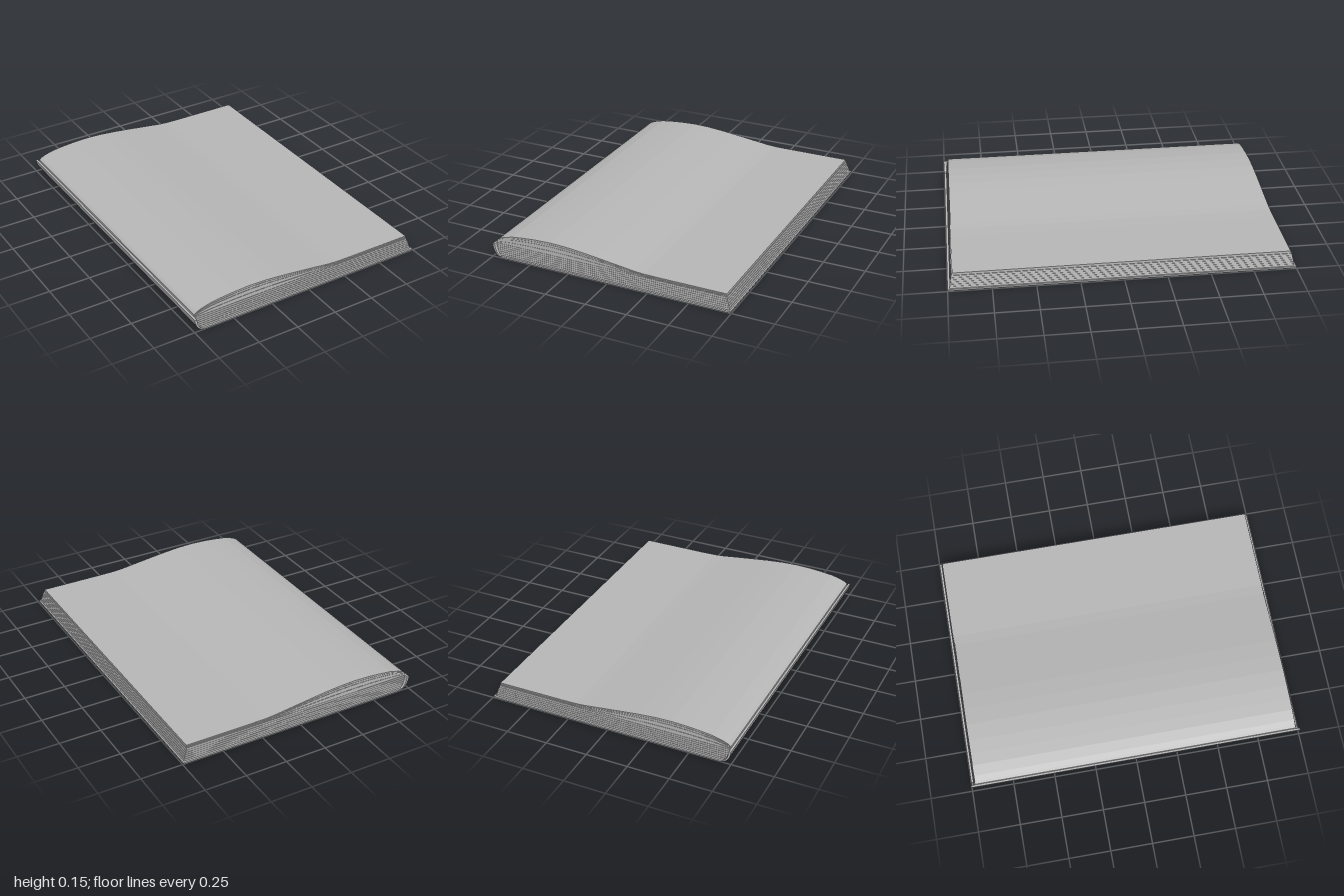
import * as THREE from 'three';

const paper = new THREE.MeshStandardMaterial({ color: 0xb8b8b8 });
paper.name = 'grey';

// Extrude an x-y outline symmetrically along z
function slab(name, points, halfDepth) {
  const shape = new THREE.Shape(points.map(([x, y]) => new THREE.Vector2(x, y)));
  const geo = new THREE.ExtrudeGeometry(shape, { depth: 2 * halfDepth, bevelEnabled: false });
  geo.translate(0, 0, -halfDepth);
  const mesh = new THREE.Mesh(geo, paper);
  mesh.name = name;
  return mesh;
}

// Inner face of the spine at height y
const spineX = (y) => -0.70 - 0.034 * Math.sqrt(Math.max(0, Math.min(1, (y - 0.01) / 0.07)));

// Upper edge of the raised leaves, scaled by how far they lift
const curl = [
  [-0.735, 0], [-0.72, 0.2], [-0.69, 0.41], [-0.63, 0.68], [-0.56, 0.82], [-0.48, 0.94],
  [-0.38, 1], [-0.28, 0.94], [-0.18, 0.79], [-0.08, 0.59], [0, 0.42], [0.08, 0.25],
  [0.15, 0.1], [0.21, 0.02], [0.3, 0], [0.71, 0],
];
const curlEdge = (base, lift) => curl.map(([x, k]) => [x, base + lift * k]);

export function createModel() {
  const book = new THREE.Group();
  book.name = 'book';

  // Back cover with the rounded spine rising on the left
  book.add(slab('coverAndSpine', [
    [0.745, 0], [0.745, 0.01], [-0.70, 0.01],
    [-0.713, 0.02], [-0.723, 0.035], [-0.731, 0.055], [-0.735, 0.082],
    [-0.748, 0.082], [-0.745, 0.06], [-0.737, 0.038], [-0.725, 0.02], [-0.708, 0.006], [-0.69, 0],
  ], 1));

  // Flat page blocks, each a little shorter than the one below
  const count = 6;
  const step = 0.07 / count;
  for (let i = 0; i < count; i++) {
    const y0 = 0.01 + i * step;
    const y1 = y0 + step;
    const right = 0.736 - i * 0.004;
    book.add(slab('pageBlock' + (i + 1), [
      [spineX(y0), y0], [right, y0], [right - 0.002, y1], [spineX(y1), y1],
    ], 0.988 - i * 0.002));
  }

  // Raised leaves bulging near the spine and lying flat at the fore edge
  const bases = [0.08, 0.084, 0.088, 0.091, 0.095];
  const lifts = [0, 0.021, 0.042, 0.052, 0.059];
  for (let i = 0; i < 4; i++) {
    const low = curlEdge(bases[i], lifts[i]);
    const high = curlEdge(bases[i + 1], lifts[i + 1]).reverse();
    book.add(slab('raisedLeaf' + (i + 1), [...low, ...high], 0.976 - i * 0.002));
  }

  return book;
}
